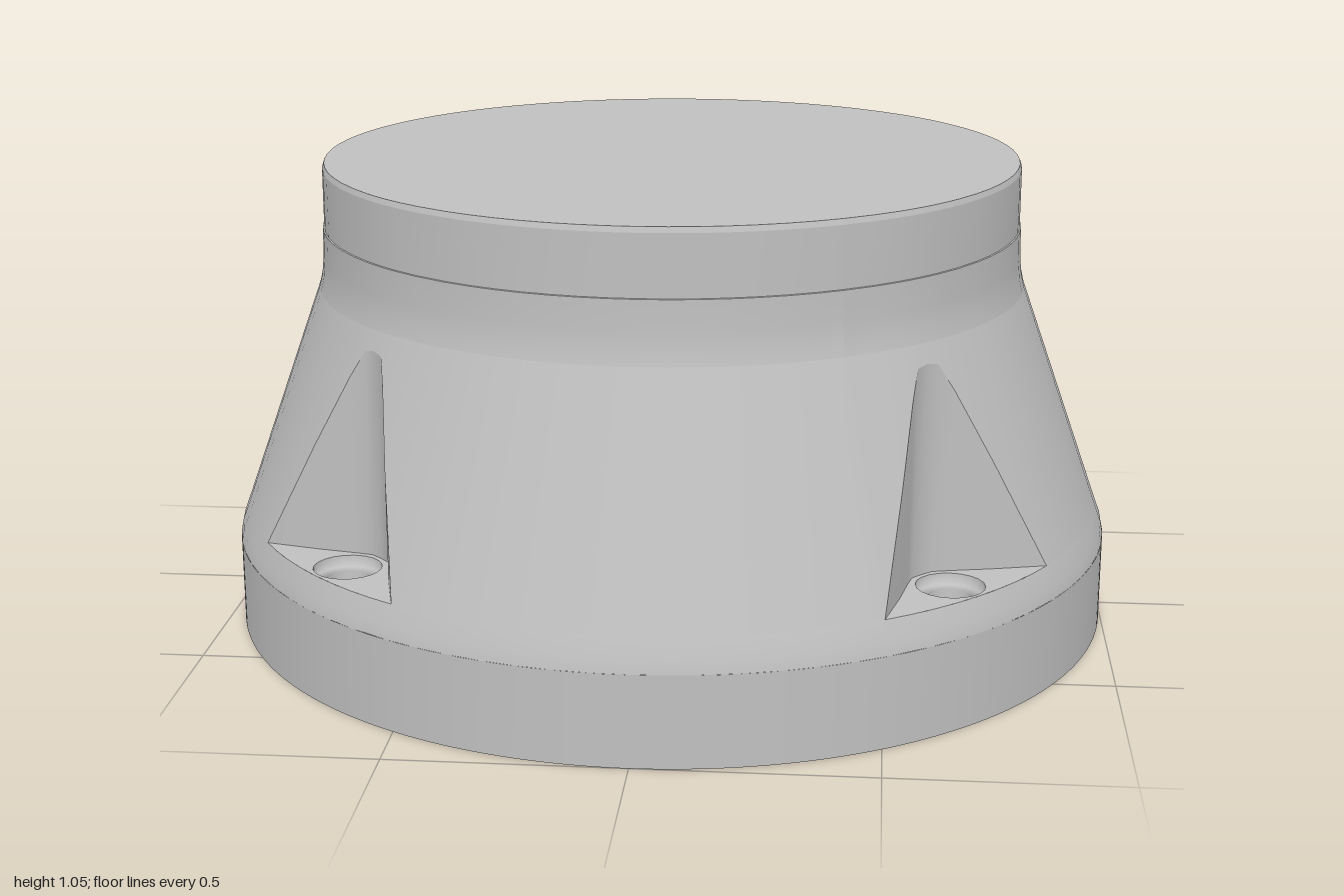
import * as THREE from 'three';

const grey = new THREE.MeshStandardMaterial({ color: 0xc0c0c0, side: THREE.DoubleSide });
grey.name = 'plain grey';

const FLOOR = 0.27, CEIL = 0.2, SKIRT = 0.2;
const RIM = 1 - (FLOOR - 0.21) / 2.8;
const coneY = r => 0.21 + (1 - r) * 2.8;
const polar = (a, r, y) => [Math.sin(a) * r, y, Math.cos(a) * r];
const range = (n, a, b) => Array.from({ length: n + 1 }, (_, i) => a + (b - a) * i / n);

// skin over rows of points, rows run bottom to top for a surface facing outwards
function skin(rows) {
  const n = rows[0].length, index = [];
  for (let i = 0; i < rows.length - 1; i++) {
    for (let j = 0; j < n - 1; j++) {
      const a = i * n + j, d = a + n;
      index.push(a, a + 1, d + 1, a, d + 1, d);
    }
  }
  const g = new THREE.BufferGeometry();
  g.setAttribute('position', new THREE.Float32BufferAttribute(rows.flat(2), 3));
  g.setIndex(index);
  g.computeVertexNormals();
  return g;
}

// circle of [x, z] points
const circle = (cx, cz, r, n = 20) => range(n, 0, Math.PI * 2).slice(0, n)
  .map(a => [cx + r * Math.sin(a), cz + r * Math.cos(a)]);

// horizontal face from [x, z] outlines
function flat(outline, y, up, holes = []) {
  const vec = ps => ps.map(([x, z]) => new THREE.Vector2(x, up ? -z : z));
  const s = new THREE.Shape(vec(outline));
  s.holes = holes.map(h => new THREE.Path(vec(h)));
  return new THREE.ShapeGeometry(s).rotateX(up ? -Math.PI / 2 : Math.PI / 2).translate(0, y, 0);
}

// inside wall of a round hole, profile [r, y] from top to bottom
const bore = (cx, cz, profile, n = 20) => skin(profile.map(([r, y]) =>
  range(n, 0, Math.PI * 2).map(a => [cx + r * Math.sin(a), y, cz + r * Math.cos(a)])));

// nearest hit of a ray from the centre with a round boss
function nearSide(a, cx, cz, rad) {
  const c = Math.hypot(cx, cz), d = a - Math.atan2(cx, cz);
  const q = rad * rad - (c * Math.sin(d)) ** 2;
  return q > 0 && Math.cos(d) > 0 ? c * Math.cos(d) - Math.sqrt(q) : Infinity;
}

export function createModel() {
  const group = new THREE.Group();
  const add = (name, geometry) => {
    const m = new THREE.Mesh(geometry, grey);
    m.name = name;
    group.add(m);
  };

  // plan of one corner pocket: [angle, radius] across the diagonal
  const half = [[0.5, 0.841], [0.53, 0.72], [0.547, 0.635], [0.556, 0.598], [0.576, 0.576]];
  const plan = [...half, ...half.slice(0, -1).reverse().map(([x, z]) => [z, x])]
    .map(([x, z]) => [Math.atan2(x, z), Math.hypot(x, z)]);
  plan[0][1] = plan[plan.length - 1][1] = RIM;

  // columns round the body, dense at the pockets
  const cols = [];
  for (let k = 0; k < 4; k++) {
    const turn = k * Math.PI / 2;
    plan.forEach(([a, r]) => cols.push([a + turn, r]));
    range(14, plan[plan.length - 1][0], plan[0][0] + Math.PI / 2).slice(1, -1)
      .forEach(a => cols.push([a + turn, RIM]));
  }
  cols.push([cols[0][0] + Math.PI * 2, cols[0][1]]);
  const rings = profile => skin(profile.map(([r, y]) => cols.map(([a]) => polar(a, r, y))));

  // sloping body, neck and flat lid
  add('cone', skin([
    cols.map(([a, r]) => polar(a, r, coneY(r))),
    cols.map(([a]) => polar(a, 0.8, 0.77))]));
  add('shoulder', rings([[1, SKIRT], [0.995, 0.226], [RIM, FLOOR]]));
  add('neck', rings([[0.8, 0.77], [0.793, 0.8], [0.789, 0.84], [0.788, 0.905]]));
  add('neckStep', rings([[0.788, 0.905], [0.785, 0.906]]));
  add('lidBand', rings([[0.785, 0.906], [0.785, 1.038]]));
  add('lidBevel', rings([[0.785, 1.038], [0.781, 1.05]]));
  add('lid', flat(cols.slice(0, -1).map(([a]) => [Math.sin(a) * 0.781, Math.cos(a) * 0.781]), 1.05, true));

  // corner pockets with countersunk screw holes
  const screws = [];
  for (let k = 0; k < 4; k++) {
    const turn = k * Math.PI / 2, a0 = Math.PI / 4 + turn;
    const sx = Math.sin(a0) * 0.898, sz = Math.cos(a0) * 0.898;
    screws.push([sx, sz]);
    const wall = plan.map(([a, r]) => [a + turn, r]);
    add('pocketWall', skin([
      wall.map(([a, r]) => polar(a, r, FLOOR)),
      wall.map(([a, r]) => polar(a, r, coneY(r)))]));
    const edge = range(8, wall[wall.length - 1][0], wall[0][0]).slice(1, -1).map(a => [a, RIM]);
    const outline = [...wall, ...edge].map(([a, r]) => [Math.sin(a) * r, Math.cos(a) * r]);
    add('pocketFloor', flat(outline, FLOOR, true, [circle(sx, sz, 0.073)]));
    add('screwHole', bore(sx, sz, [[0.073, FLOOR], [0.07, 0.245], [0.045, 0.245], [0.045, 0]]));
  }

  // underside outlines: rim with bosses, and the plate that follows them
  const tabs = [[0.64, -0.1], [-0.64, -0.1]];
  const rimR = a => Math.min(0.84,
    ...screws.map(([x, z]) => nearSide(a, x, z, 0.12)),
    ...tabs.map(([x, z]) => nearSide(a, x, z, 0.115)));
  const plateR = a => Math.min(0.755, ...tabs.map(([x, z]) => nearSide(a, x, z, 0.13)));
  const gap = Math.asin(0.065);
  const open = range(300, -Math.PI + gap, Math.PI - gap);
  const xz = (a, r) => [Math.sin(a) * r, Math.cos(a) * r];

  // skirt and rim, open at the back for the cable notch
  add('skirt', skin([0, SKIRT].map(y => open.map(a => polar(a, 1, y)))));
  add('rimInside', skin([CEIL, 0].map(y => open.map(a => polar(a, rimR(a), y)))));
  add('rimUnderside', flat(
    [...open.map(a => xz(a, 1)), ...open.slice().reverse().map(a => xz(a, rimR(a)))], 0, false,
    [...screws.map(([x, z]) => circle(x, z, 0.045)), ...tabs.map(([x, z]) => circle(x, z, 0.045, 8))]));

  // arched cable notch
  const arch = range(12, -1, 1).map(t => [Math.PI + gap * t, 0.085 + 0.06 * Math.sqrt(Math.max(0, 1 - t * t))]);
  const over = r => [arch.map(([a, y]) => polar(a, r, y)), arch.map(([a]) => polar(a, r, SKIRT))];
  add('notchOuterWall', skin(over(1)));
  add('notchInnerWall', skin(over(0.84).reverse()));
  const lining = [[Math.PI - gap, 0], ...arch, [Math.PI + gap, 0]];
  add('notchLining', skin([0.84, 1].map(r => lining.map(([a, y]) => polar(a, r, y)))));

  // base plate with cable hole and pin holes
  const full = range(300, -Math.PI, Math.PI);
  const pins = [[0.23, -0.08], [-0.23, -0.08], [0.2, 0.15], [-0.2, 0.15]];
  add('basePlate', flat(full.slice(0, -1).map(a => xz(a, plateR(a))), 0.005, false,
    [circle(0, 0.28, 0.15, 32), ...pins.map(([x, z]) => circle(x, z, 0.013, 8))]));
  add('basePlateEdge', skin([0.005, CEIL].map(y => full.map(a => polar(a, plateR(a), y)))));
  add('cableHole', bore(0, 0.28, [[0.15, CEIL], [0.15, 0.005]], 32));
  pins.forEach(([x, z]) => add('pinHole', bore(x, z, [[0.013, CEIL], [0.013, 0.005]], 8)));
  tabs.forEach(([x, z]) => add('tabHole', bore(x, z, [[0.045, CEIL], [0.045, 0]], 8)));
  add('cavityCeiling', flat(circle(0, 0, 0.85, 64), CEIL, false));

  return group;
}
